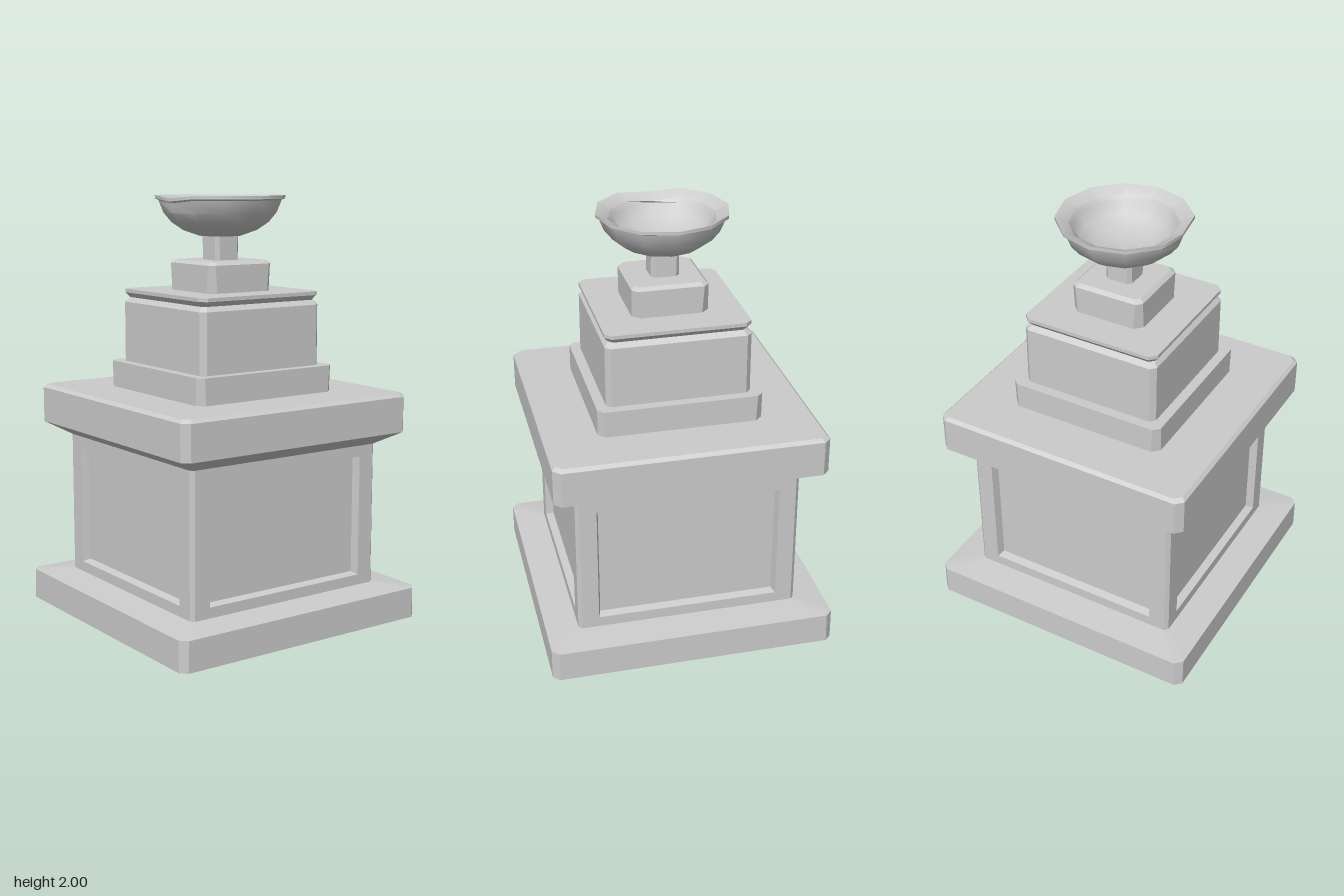
import * as THREE from 'three';
import { toCreasedNormals } from 'three/addons/utils/BufferGeometryUtils.js';

const material = new THREE.MeshStandardMaterial({ color: 0xcccccc });

// Flat-shaded skin over rings of equal point count, optionally capped.
function loft(rings, capStart, capEnd) {
  const pos = [];
  const tri = (...pts) => pts.forEach((p) => pos.push(...p));
  const n = rings[0].length;
  for (let i = 0; i < rings.length - 1; i++) {
    for (let j = 0; j < n; j++) {
      const k = (j + 1) % n;
      const [a, b, c, d] = [rings[i][j], rings[i][k], rings[i + 1][k], rings[i + 1][j]];
      tri(a, b, c);
      tri(a, c, d);
    }
  }
  const last = rings[rings.length - 1];
  for (let j = 1; j < n - 1; j++) {
    if (capStart) tri(rings[0][0], rings[0][j + 1], rings[0][j]);
    if (capEnd) tri(last[0], last[j], last[j + 1]);
  }
  const g = new THREE.BufferGeometry();
  g.setAttribute('position', new THREE.Float32BufferAttribute(pos, 3));
  g.computeVertexNormals();
  return g;
}

// Square section with cut corners: half width, height, corner cut.
function cutSquare([h, y, cut]) {
  const c = h - cut;
  return [[-c, h], [c, h], [h, c], [h, -c], [c, -h], [-c, -h], [-h, -c], [-h, c]]
    .map(([x, z]) => [x, y, z]);
}

// Upright rectangle facing +z.
const rect = (x, y0, y1, z) => [[-x, y0, z], [x, y0, z], [x, y1, z], [-x, y1, z]];

function add(group, name, geometry) {
  const mesh = new THREE.Mesh(geometry, material);
  mesh.name = name;
  group.add(mesh);
  return mesh;
}

export function createModel() {
  const model = new THREE.Group();
  model.name = 'pedestalWithBowl';

  // Stacked blocks, each a profile of [half width, height, corner cut]
  const tiers = {
    base: [[0.677, 0, 0.03], [0.677, 0.145, 0.033], [0.527, 0.162, 0.017]],
    cap: [[0.527, 0.84, 0.017], [0.633, 0.902, 0.033], [0.633, 1.07, 0.033], [0.617, 1.085, 0.03]],
    upperPlinth: [[0.384, 1.085, 0.034], [0.384, 1.21, 0.028]],
    upperBlock: [[0.337, 1.21, 0.024], [0.337, 1.495, 0.024], [0.317, 1.517, 0.02],
      [0.337, 1.54, 0.03], [0.337, 1.557, 0.03]],
    smallBlock: [[0.178, 1.557, 0.035], [0.178, 1.685, 0.025], [0.16, 1.7, 0.022]],
    stem: [[0.066, 1.7, 0.018], [0.066, 1.825, 0.014]],
  };
  for (const [name, profile] of Object.entries(tiers)) {
    add(model, name, loft(profile.map(cutSquare), true, true));
  }

  // Shaft: four sides, each with half of its corner cuts and a sunken panel
  const shaft = new THREE.Group();
  shaft.name = 'shaft';
  const side = loft([
    rect(0.5185, 0.16, 0.842, 0.5185),
    rect(0.51, 0.16, 0.842, 0.527),
    rect(0.43, 0.212, 0.787, 0.527),
    rect(0.418, 0.222, 0.777, 0.49),
  ], false, true);
  for (let i = 0; i < 4; i++) {
    add(shaft, 'panelledSide', side).rotation.y = (i * Math.PI) / 2;
  }
  model.add(shaft);

  // Twelve-sided bowl, outside up to the lip and back down the inside
  const profile = [
    [0, 1.81], [0.1, 1.812], [0.175, 1.838], [0.23, 1.875], [0.267, 1.92], [0.287, 1.968],
    [0.29, 1.978], [0.307, 1.985], [0.307, 2], [0.248, 1.972],
    [0.237, 1.95], [0.2, 1.9], [0.13, 1.865], [0, 1.85],
  ].map(([r, y]) => new THREE.Vector2(r, y));
  const bowl = new THREE.LatheGeometry(profile, 12);

  // Small dent in the front of the lip
  const p = bowl.attributes.position;
  for (let i = 0; i < p.count; i++) {
    if (Math.abs(p.getX(i)) < 0.01 && p.getZ(i) > 0.24 && p.getY(i) > 1.96) {
      p.setZ(i, p.getZ(i) * 0.93);
      p.setY(i, p.getY(i) - 0.012);
    }
  }
  add(model, 'bowl', toCreasedNormals(bowl, 0.7));

  return model;
}
